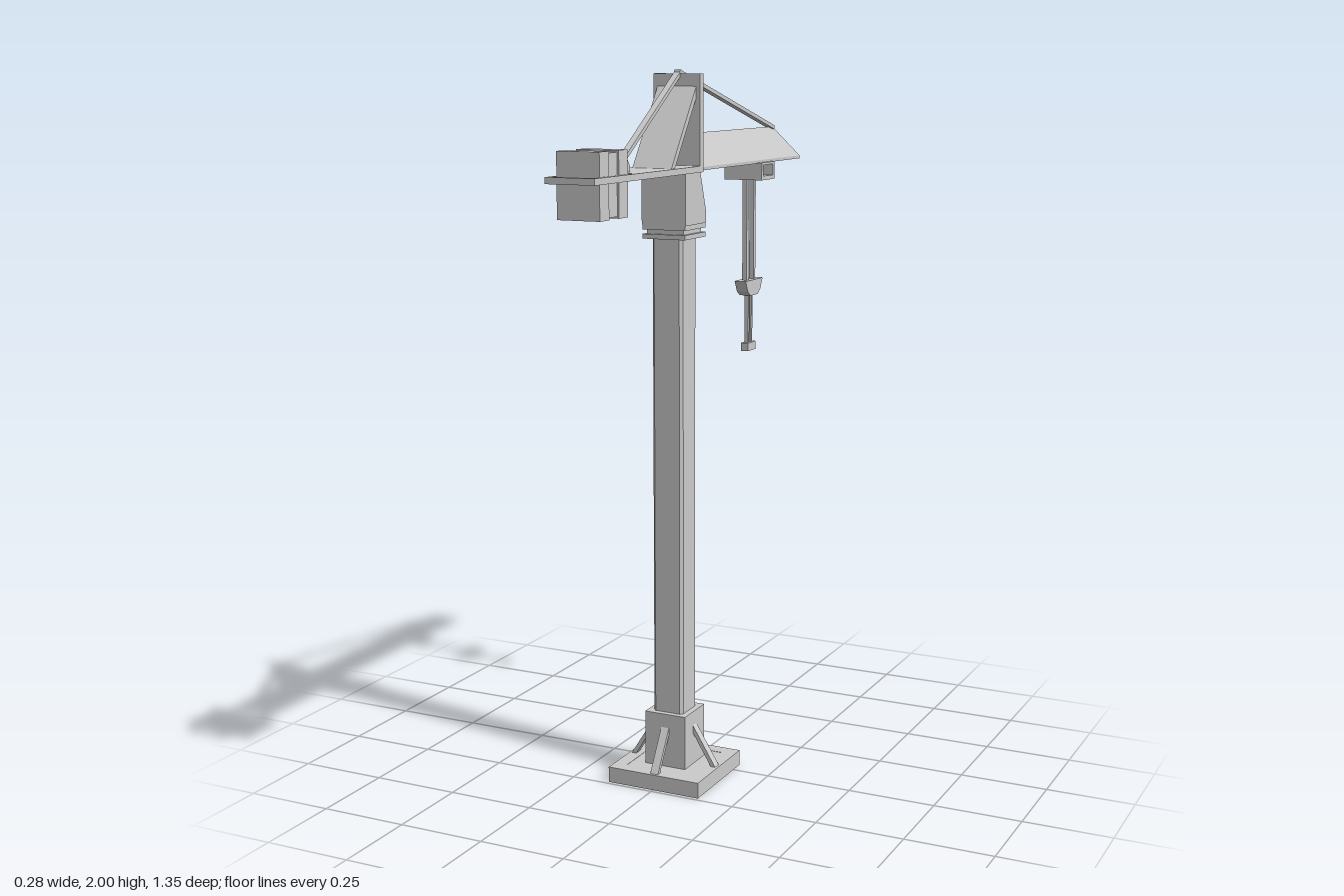
import * as THREE from 'three';

const MAST_Z = 0.098;
const material = new THREE.MeshStandardMaterial({ color: 0xcccccc, flatShading: true });

export function createModel() {
  const crane = new THREE.Group();
  crane.name = 'towerCrane';

  const add = (name, geometry, parent = crane) => {
    const mesh = new THREE.Mesh(geometry, material);
    mesh.name = name;
    parent.add(mesh);
    return mesh;
  };

  // Box given by half width in x and its y and z ranges
  const block = (name, hx, y0, y1, z0, z1, parent) =>
    add(name, new THREE.BoxGeometry(2 * hx, y1 - y0, z1 - z0)
      .translate(0, (y0 + y1) / 2, (z0 + z1) / 2), parent);

  // Side profile of [z, y] points, extruded across x; optional hole
  const sideGeometry = (points, hx, hole) => {
    const toVec = ([z, y]) => new THREE.Vector2(z, y);
    const shape = new THREE.Shape(points.map(toVec));
    if (hole) shape.holes.push(new THREE.Path(hole.map(toVec)));
    return new THREE.ExtrudeGeometry(shape, { depth: 2 * hx, bevelEnabled: false })
      .translate(0, 0, -hx).rotateY(-Math.PI / 2);
  };

  const rect = (a0, a1, b0, b1) => [[a0, b0], [a1, b0], [a1, b1], [a0, b1]];

  // Plan outline of [x, -z] points, extruded upward from y0 to y1
  const planGeometry = (points, y0, y1, hole) => {
    const toVec = ([x, z]) => new THREE.Vector2(x, z);
    const shape = new THREE.Shape(points.map(toVec));
    if (hole) shape.holes.push(new THREE.Path(hole.map(toVec)));
    return new THREE.ExtrudeGeometry(shape, { depth: y1 - y0, bevelEnabled: false })
      .rotateX(-Math.PI / 2).translate(0, y0, 0);
  };

  // Straight bar in the centre plane between two [z, y] points
  const bar = (name, [z0, y0], [z1, y1], thick, width) => {
    const dz = z1 - z0, dy = y1 - y0;
    add(name, new THREE.BoxGeometry(width, thick, Math.hypot(dz, dy))
      .rotateX(-Math.atan2(dy, dz))
      .translate(0, (y0 + y1) / 2, (z0 + z1) / 2));
  };

  // Parts that share the mast axis
  const tower = new THREE.Group();
  tower.name = 'tower';
  tower.position.z = MAST_Z;
  crane.add(tower);
  const square = (h) => rect(-h, h, -h, h);

  // Foot: hollow underneath, with a sleeve around the mast
  add('baseRim', planGeometry(square(0.141), 0, 0.045, square(0.102)), tower);
  block('basePlate', 0.11, 0.03, 0.044, -0.11, 0.11, tower);
  add('baseSleeve', planGeometry(square(0.063), 0, 0.2, square(0.034)), tower);

  // Four diagonal braces around the sleeve
  const brace = sideGeometry([[0.134, 0.044], [0.06, 0.165], [0.06, 0.143], [0.12, 0.044]], 0.012);
  for (let i = 0; i < 4; i++) add('baseBrace', brace, tower).rotation.y = i * Math.PI / 2;

  // Mast with slightly chamfered corners
  const m = 0.046, c = 0.038;
  add('mast', planGeometry(
    [[c, -m], [m, -c], [m, c], [c, m], [-c, m], [-m, c], [-m, -c], [-c, -m]], 0.02, 1.56), tower);

  // Slewing collar
  block('collarLower', 0.064, 1.548, 1.561, -0.064, 0.064, tower);
  block('collarNeck', 0.055, 1.561, 1.573, -0.055, 0.055, tower);
  block('collarUpper', 0.064, 1.573, 1.586, -0.064, 0.064, tower);

  // Slewing head, sloped at the back
  add('slewingHead', sideGeometry(
    [[0.033, 1.586], [0.162, 1.586], [0.162, 1.726], [0.07, 1.726], [0.033, 1.615]], 0.066));

  // Rear platform with an opening for the ballast
  add('rearPlatform', planGeometry(
    rect(-0.07, 0.07, -0.673, -0.065), 1.725, 1.742, rect(-0.06, 0.06, -0.657, -0.449)));

  // Ballast slabs hung in the opening
  for (const [z0, z1, inset] of [[0.482, 0.53, 0], [0.53, 0.582, 0.005], [0.582, 0.631, 0]]) {
    block('counterweightSlab', 0.0605 - inset, 1.634 + inset, 1.804 - inset, z0, z1);
  }

  // Upright plate and its sloping support panel
  block('towerHead', 0.07, 1.725, 1.988, 0.06, 0.08);
  add('supportPanel', sideGeometry(
    [[0.21, 1.741], [0.231, 1.741], [0.078, 1.957], [0.078, 1.926]], 0.058));

  // Jib: triangular section, tapering to a pointed lip
  const jib = sideGeometry(rect(-0.673, 0.065, 0, 1), 0.048);
  jib.dispose();
  const section = [[-0.048, 1.727], [0.048, 1.727], [0.048, 1.736], [0, 1.826], [-0.048, 1.736]];
  const positions = [];
  const root = section.map(([x, y]) => [x, y, 0.065]);
  const tip = section.map(([x, y], i) => [x, y, i === 3 ? -0.572 : -0.673]);
  const tri = (...corners) => corners.forEach((p) => positions.push(...p));
  for (let i = 0; i < 5; i++) {
    const j = (i + 1) % 5;
    tri(root[i], tip[i], tip[j]);
    tri(root[i], tip[j], root[j]);
  }
  for (const [a, b, d] of [[0, 1, 2], [0, 2, 4], [4, 2, 3]]) {
    tri(root[a], root[b], root[d]);
    tri(tip[a], tip[d], tip[b]);
  }
  const jibGeometry = new THREE.BufferGeometry();
  jibGeometry.setAttribute('position', new THREE.Float32BufferAttribute(positions, 3));
  jibGeometry.computeVertexNormals();
  add('jib', jibGeometry);

  // Tie bars and rear anchor
  bar('frontTie', [0.078, 1.993], [-0.568, 1.824], 0.011, 0.018);
  bar('rearTie', [0.066, 1.993], [0.412, 1.765], 0.011, 0.018);
  add('tieAnchor', sideGeometry(
    [[0.395, 1.741], [0.445, 1.741], [0.445, 1.797], [0.424, 1.797], [0.395, 1.757]], 0.021));

  // Trolley: rectangular frame open to both sides
  add('trolley', sideGeometry(
    rect(-0.453, -0.358, 1.678, 1.729), 0.06, rect(-0.44, -0.371, 1.69, 1.722)));

  // Hoist bars, hook block and hook foot
  const hookZ = -0.404;
  for (const s of [-1, 1]) {
    const u = hookZ + s * 0.025, l = hookZ + s * 0.011;
    block('hoistBar', 0.007, 1.37, 1.682, u - 0.007, u + 0.007);
    block('hookBar', 0.006, 1.185, 1.345, l - 0.004, l + 0.004);
  }
  add('hookBlock', sideGeometry(
    [[-0.062, 1.381], [-0.045, 1.348], [-0.025, 1.335], [0.025, 1.335], [0.045, 1.348], [0.062, 1.381]]
      .map(([z, y]) => [z + hookZ, y]), 0.018));
  block('hookFoot', 0.012, 1.168, 1.192, hookZ - 0.028, hookZ + 0.028);

  return crane;
}
